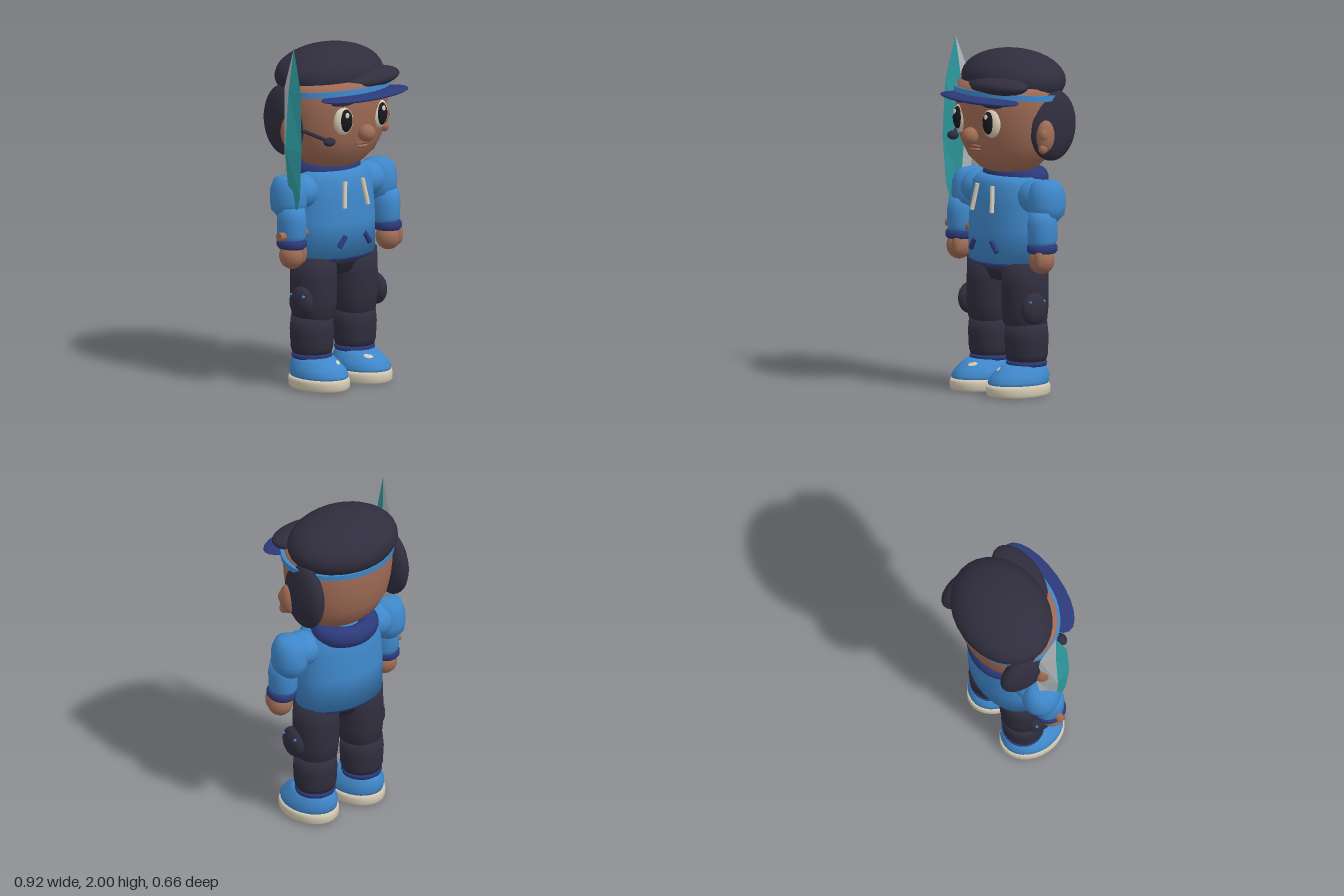
import * as THREE from 'three';

const mat = (name, color) => {
  const m = new THREE.MeshStandardMaterial({ color });
  m.name = name;
  return m;
};

export function createModel() {
  const blue = mat('blue cloth', 0x3f88cb), navy = mat('navy trim', 0x2c3a7a);
  const dark = mat('charcoal', 0x302e3e), skin = mat('skin', 0x9f6b55);
  const cream = mat('cream', 0xd6cbb5), black = mat('pupil black', 0x17171e);
  const teal = mat('teal blade', 0x2f9ba0), grey = mat('grey blade', 0xb2b9bb);
  const lip = mat('lip', 0x8a5847);

  const model = new THREE.Group();
  const body = new THREE.Group();
  body.name = 'figure';
  body.position.x = 0.007;
  model.add(body);

  const add = (name, geo, m, pos = [0, 0, 0], rot = [0, 0, 0], parent = body) => {
    const mesh = new THREE.Mesh(geo, m);
    mesh.name = name;
    mesh.position.set(...pos);
    mesh.rotation.set(...rot);
    parent.add(mesh);
    return mesh;
  };
  const ball = (name, m, pos, radii, rot, seg = 24) =>
    add(name, new THREE.SphereGeometry(1, seg, Math.round(seg * 0.7)).scale(...radii), m, pos, rot);
  // Lathe with an elliptical section; points are [radius, y] from bottom to top
  const turned = (name, m, pts, pos, sx = 1, sz = 1, seg = 32) =>
    add(name, new THREE.LatheGeometry(pts.map(p => new THREE.Vector2(...p)), seg).scale(sx, 1, sz), m, pos);
  const rod = (name, m, a, b, r) => {
    const A = new THREE.Vector3(...a), B = new THREE.Vector3(...b), d = B.clone().sub(A);
    const mesh = add(name, new THREE.CylinderGeometry(r, r, d.length(), 10), m);
    mesh.position.copy(A.add(B).multiplyScalar(0.5));
    mesh.quaternion.setFromUnitVectors(new THREE.Vector3(0, 1, 0), d.normalize());
    return mesh;
  };

  // Head
  turned('head', skin, [[0, 1.25], [0.1, 1.257], [0.18, 1.285], [0.255, 1.35], [0.3, 1.43], [0.324, 1.53],
    [0.334, 1.62], [0.335, 1.7], [0.32, 1.77], [0.2, 1.8], [0, 1.805]], [0, 0, -0.03], 1, 0.81, 40);
  ball('nose', skin, [0, 1.485, 0.245], [0.05, 0.05, 0.05]);
  ball('upperLip', lip, [0, 1.425, 0.212], [0.055, 0.011, 0.02]);
  ball('lowerLip', skin, [0, 1.407, 0.208], [0.04, 0.011, 0.02]);

  // Cap
  ball('capCrown', dark, [0, 1.79, -0.07], [0.34, 0.167, 0.265], [-0.04, 0, 0], 32);
  add('capBand', new THREE.CylinderGeometry(1, 1, 0.032, 40).scale(0.345, 1, 0.283), blue,
    [0.005, 1.712, -0.03], [-0.07, 0, 0]);
  ball('capBrim', navy, [0.028, 1.697, 0.2], [0.317, 0.024, 0.13]);
  ball('capFrontPuff', dark, [0.11, 1.772, 0.13], [0.225, 0.056, 0.122], [0, 0, 0.04]);

  for (const s of [-1, 1]) {
    // Eyes, brows, side hair and ears
    ball('eyeWhite', cream, [s * 0.14, 1.57, 0.203], [0.062, 0.083, 0.035], [0, s * 0.2, 0]);
    ball('pupil', black, [s * 0.138, 1.572, 0.216], [0.045, 0.068, 0.032], [0, s * 0.2, 0]);
    ball('eyeShine', cream, [s * 0.14 - 0.004, 1.605, 0.241], [0.014, 0.018, 0.007]);
    ball('brow', dark, [s * 0.15, 1.672, 0.206], [0.07, 0.016, 0.02], [0, s * 0.3, 0]);
    ball('sideHair', dark, [s * 0.3, 1.55, -0.11], [0.07, 0.205, 0.162], [0, 0, 0]);
    ball('ear', skin, [s * 0.35, 1.5, -0.02], [0.045, 0.092, 0.056]);
    ball('earInner', skin, [s * 0.365, 1.51, 0.005], [0.03, 0.04, 0.03]);
    ball('earLobe', skin, [s * 0.36, 1.43, 0.005], [0.025, 0.03, 0.028]);

    // Arms
    turned('upperSleeve', blue, [[0, 1.0], [0.06, 1.01], [0.095, 1.05], [0.103, 1.1], [0.1, 1.17],
      [0.08, 1.225], [0.05, 1.242], [0, 1.245]], [s * 0.347, 0, -0.03], 1, 1.1, 20);
    add('shoulder', new THREE.SphereGeometry(1, 20, 14).scale(0.12, 0.1, 0.11), blue, [s * 0.26, 1.142, -0.03]);
    turned('lowerSleeve', blue, [[0, 0.865], [0.065, 0.87], [0.079, 0.91], [0.08, 1.0], [0.07, 1.07], [0, 1.09]],
      [s * 0.362, 0, 0.012], 1, 1.12, 24);
    turned('cuff', navy, [[0, 0.835], [0.07, 0.838], [0.08, 0.852], [0.08, 0.875], [0.07, 0.89], [0, 0.892]],
      [s * 0.368, 0, 0.018], 1, 1.15, 24);
    ball('hand', skin, [s * 0.372, 0.795, 0.025], [0.073, 0.077, 0.073]);
    ball('thumb', skin, [s * 0.372 + 0.034, 0.81, 0.072], [0.029, 0.06, 0.027]);

    // Hoodie details
    rod('drawstring', cream, [s * 0.067, 1.195, 0.138], [s * 0.09, 1.045, 0.16], 0.013);
    rod('pocketTrim', navy, [s * 0.073, 0.88, 0.148], [s * 0.118, 0.82, 0.144], 0.016);

    // Legs
    turned('thigh', dark, [[0, 0.37], [0.09, 0.375], [0.122, 0.41], [0.131, 0.5], [0.132, 0.62], [0.128, 0.76], [0, 0.77]],
      [s * 0.157, 0, -0.027], 1, 1.03);
    turned('shin', dark, [[0, 0.185], [0.11, 0.19], [0.122, 0.23], [0.127, 0.33], [0.12, 0.41], [0, 0.43]],
      [s * 0.165, 0, -0.032], 1, 0.98);
    ball('kneePad', dark, [s * 0.285, 0.505, 0.01], [0.046, 0.092, 0.087]);
    for (const z of [-0.04, 0.06]) ball('kneeStud', blue, [s * 0.315, 0.55, z], [0.012, 0.008, 0.008], [0, 0, 0], 8);
    turned('ankleBand', navy, [[0, 0.165], [0.112, 0.168], [0.117, 0.182], [0.112, 0.197], [0, 0.2]], [s * 0.165, 0, -0.032]);

    // Shoes
    turned('sole', cream, [[0, 0], [0.142, 0], [0.152, 0.015], [0.153, 0.05], [0.146, 0.07], [0, 0.072]],
      [s * 0.165, 0, 0.028], 1, 1.3);
    const shoe = turned('shoeUpper', blue, [[0, 0.06], [0.143, 0.062], [0.146, 0.085], [0.138, 0.12], [0.115, 0.155],
      [0.1, 0.175], [0, 0.18]], [s * 0.165, 0, 0.028], 1, 1.3);
    const p = shoe.geometry.attributes.position;
    for (let i = 0; i < p.count; i++) p.setZ(i, p.getZ(i) - Math.max(0, p.getY(i) - 0.085) * 0.45);
    shoe.geometry.computeVertexNormals();
    ball('shoeTongue', cream, [s * 0.16, 0.152, 0.115], [0.065, 0.016, 0.05], [0.4, 0, 0]);
  }

  // Headset microphone
  ball('microphone', dark, [-0.23, 1.457, 0.185], [0.038, 0.025, 0.03]);
  rod('microphoneBoom', dark, [-0.335, 1.525, 0.03], [-0.23, 1.46, 0.185], 0.011);

  // Hoodie and hips
  turned('torso', blue, [[0, 0.755], [0.275, 0.755], [0.276, 0.95], [0.264, 1.1], [0.247, 1.2], [0.2, 1.245], [0, 1.26]],
    [0, 0, -0.035], 1, 0.69, 40);
  turned('hem', navy, [[0, 0.732], [0.255, 0.735], [0.266, 0.757], [0, 0.758]], [0, 0, -0.035], 1, 0.69, 40);
  add('hood', new THREE.TorusGeometry(0.145, 0.065, 16, 36).rotateX(Math.PI / 2).scale(1, 1, 0.82), navy,
    [0, 1.232, -0.085], [-0.12, 0, 0]);
  turned('hips', dark, [[0, 0.64], [0.11, 0.645], [0.14, 0.7], [0.2, 0.75], [0, 0.755]], [0, 0, -0.03], 1, 0.85);

  // Blade: four-sided section tapering to a point at each end
  const corners = [[-0.034, -0.115], [0.038, -0.02], [0.014, 0.08], [-0.044, -0.03]];
  const section = [[2.0, 0, 0], [1.75, 0.5, 0.85], [1.42, 1, 1], [1.15, 0.5, 0.75], [0.94, 0, 0]];
  corners[0] = [0.034, -0.115];
  corners[1] = [-0.05, -0.02];
  corners[2] = [-0.016, 0.08];
  corners[3] = [0.044, -0.03];
  const at = (j, k) => {
    const [y, sx, sz] = section[j], [x, z] = corners[k % 4];
    return [x * sx, y, z * sz];
  };
  for (let k = 0; k < 4; k++) {
    const v = [];
    for (let j = 0; j < 4; j++) {
      const a = at(j, k), b = at(j, k + 1), c = at(j + 1, k + 1), d = at(j + 1, k);
      if (j > 0) v.push(...a, ...c, ...b);
      if (j < 3) v.push(...a, ...d, ...c);
    }
    const g = new THREE.BufferGeometry();
    g.setAttribute('position', new THREE.Float32BufferAttribute(v, 3));
    g.computeVertexNormals();
    // Corners run anticlockwise from above, so a, c, b faces outward
    add('bladeSide', g, k === 0 || k === 3 ? grey : teal, [-0.372, 0, 0.048], [0, 0, 0], model);
  }
  rod('bladeGrip', skin, [-0.473, 0.915, 0.025], [-0.265, 0.915, 0.025], 0.025);

  return model;
}
